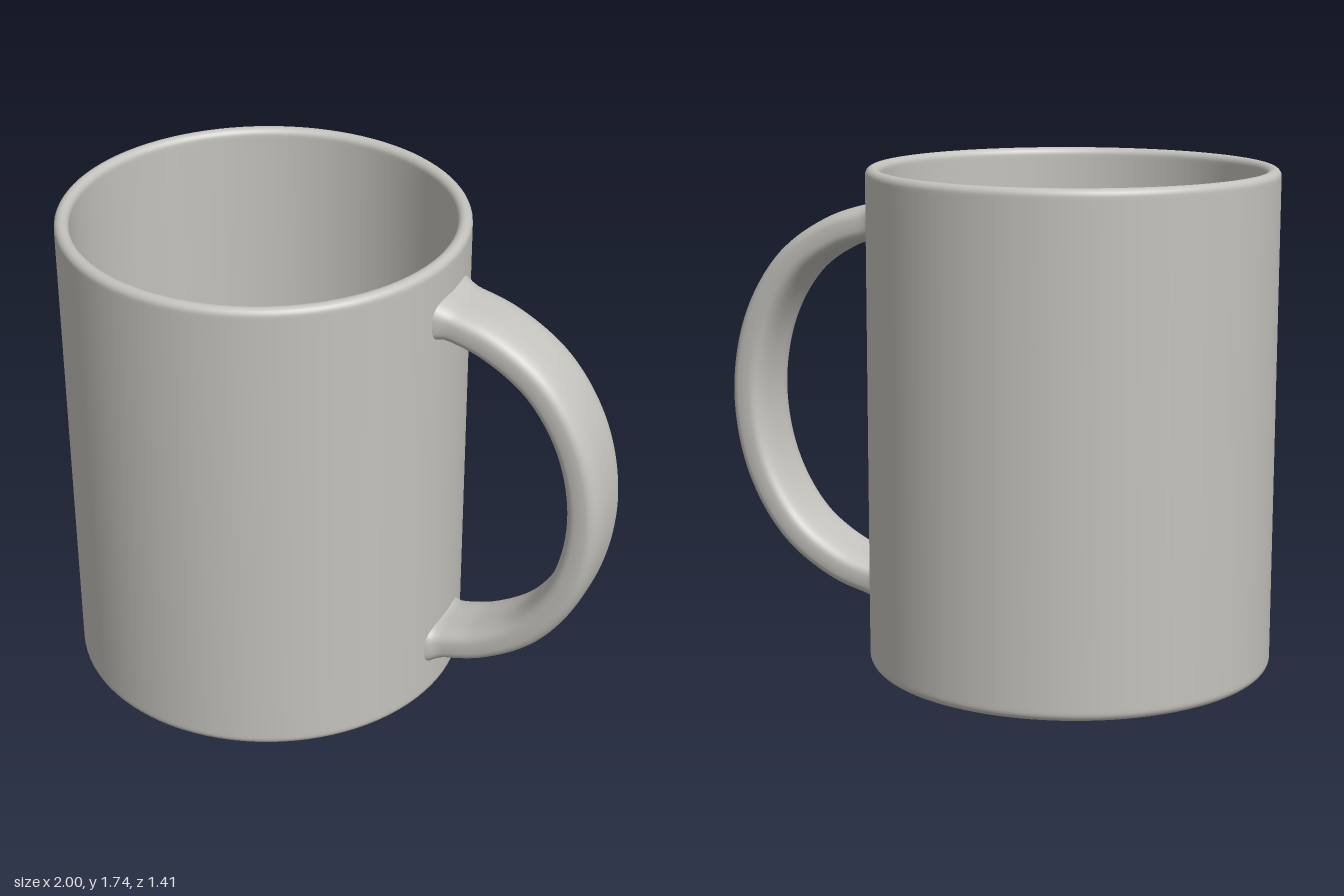
import * as THREE from 'three';

const HEIGHT = 1.74, OUTER = 0.705, INNER = 0.655, FLOOR = 0.07, BODY_X = -0.295;

// Points of a rounded corner in the body profile
function corner(cx, cy, rx, ry, from, to, steps = 6) {
  const points = [];
  for (let i = 0; i <= steps; i++) {
    const a = THREE.MathUtils.degToRad(from + ((to - from) * i) / steps);
    points.push(new THREE.Vector2(cx + rx * Math.cos(a), cy + ry * Math.sin(a)));
  }
  return points;
}

// Hollow cup turned from one closed-bottom profile: outside, rim, inside, floor
function createBody(material) {
  const b = 0.03, f = 0.035, rim = (OUTER - INNER) / 2, support = 0.01;
  const v = (x, y) => new THREE.Vector2(x, y);
  const profile = [
    v(0, 0), v(OUTER - b - support, 0),
    ...corner(OUTER - b, b, b, b, -90, 0),
    v(OUTER, b + support), v(OUTER, HEIGHT - rim - support),
    ...corner(OUTER - rim, HEIGHT - rim, rim, rim, 0, 180, 12),
    v(INNER, HEIGHT - rim - support), v(INNER, FLOOR + f + support),
    ...corner(INNER - f, FLOOR + f, f, f, 0, -90),
    v(INNER - f - support, FLOOR), v(0, FLOOR),
  ];
  const body = new THREE.Mesh(new THREE.LatheGeometry(profile, 96), material);
  body.name = 'cupBody';
  body.position.x = BODY_X;
  return body;
}

// Rounded strap swept along a D-shaped curve, flaring where it joins the wall
function createHandle(material) {
  const upper = [[0.375, 1.53], [0.43, 1.521], [0.58, 1.475], [0.755, 1.355], [0.885, 1.145]];
  const lower = upper.map(([x, y]) => [x, HEIGHT - y]).reverse();
  const path = new THREE.CatmullRomCurve3(
    [...upper, [0.935, HEIGHT / 2], ...lower].map(([x, y]) => new THREE.Vector3(x, y, 0)));
  const rings = 96, sides = 40, positions = [], index = [];
  const round = (c) => Math.sign(c) * Math.pow(Math.abs(c), 2 / 3.2);

  for (let i = 0; i <= rings; i++) {
    const p = path.getPointAt(i / rings), t = path.getTangentAt(i / rings);
    const flare = 0.02 * Math.min(1, Math.max(0, 1 - (p.x - 0.39) / 0.06)) ** 2;
    for (let j = 0; j < sides; j++) {
      const a = (j / sides) * Math.PI * 2;
      const n = (0.064 + flare) * round(Math.cos(a));
      positions.push(p.x - t.y * n, p.y + t.x * n, (0.132 + flare) * round(Math.sin(a)));
      if (i < rings) {
        const k = i * sides + j, next = i * sides + ((j + 1) % sides);
        index.push(k, next, k + sides, next, next + sides, k + sides);
      }
    }
  }
  const geometry = new THREE.BufferGeometry();
  geometry.setAttribute('position', new THREE.Float32BufferAttribute(positions, 3));
  geometry.setIndex(index);
  geometry.computeVertexNormals();
  const handle = new THREE.Mesh(geometry, material);
  handle.name = 'handle';
  return handle;
}

export function createModel() {
  const ceramic = new THREE.MeshStandardMaterial({ color: 0xc4c2bc });
  ceramic.name = 'warm grey ceramic';
  const mug = new THREE.Group();
  mug.name = 'mug';
  mug.add(createBody(ceramic), createHandle(ceramic));
  return mug;
}
